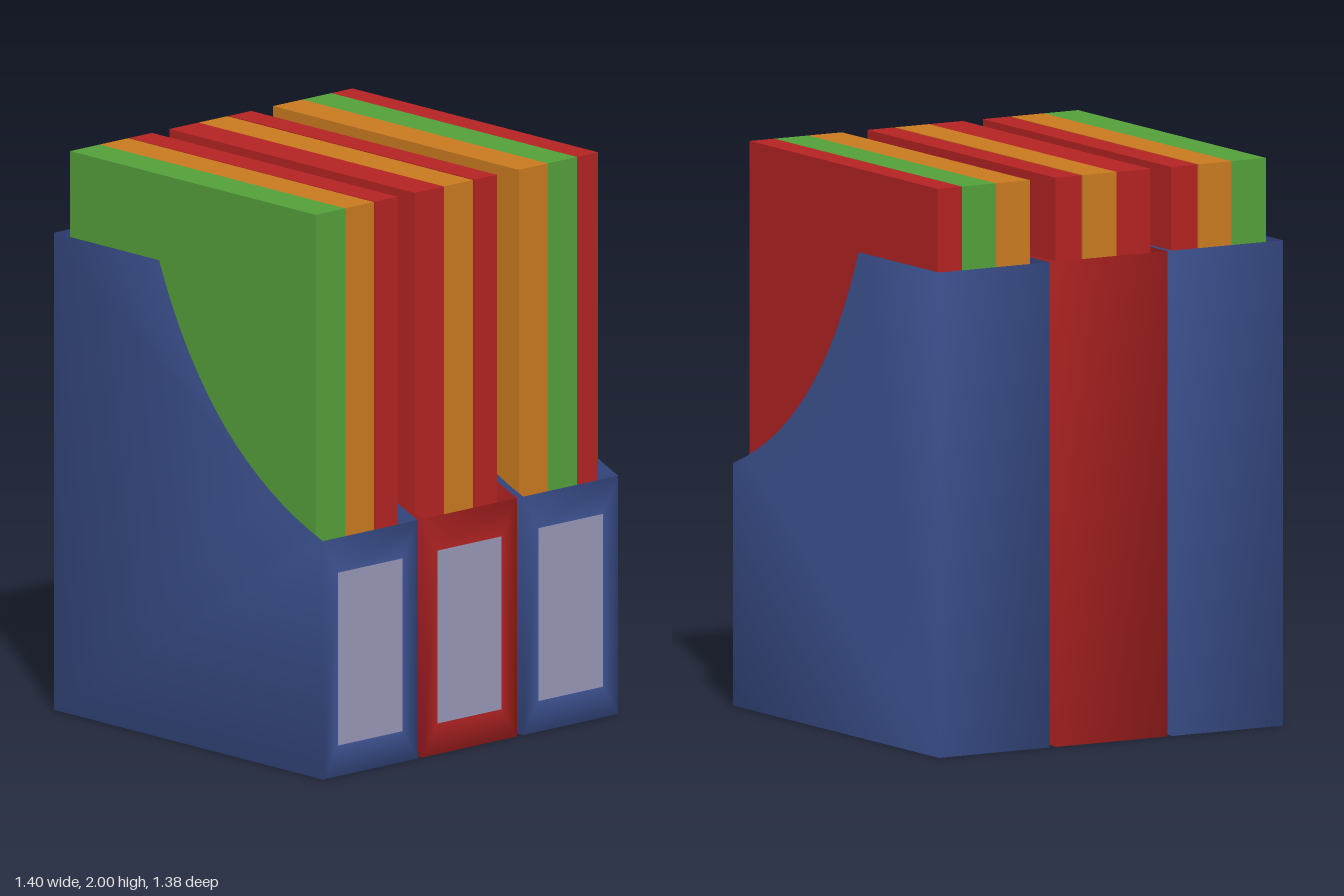
import * as THREE from 'three';
import { mergeGeometries, mergeVertices } from 'three/addons/utils/BufferGeometryUtils.js';

const W = 0.45, D = 1.38, FRONT_H = 0.855, BACK_H = 1.71;
const LABEL = { w: 0.305, y0: 0.11, y1: 0.73 };

const mat = (name, color, side = THREE.FrontSide) => {
  const m = new THREE.MeshStandardMaterial({ color, side });
  m.name = name;
  return m;
};

// Side outline with the swept cut-out; s = 1 or -1 picks the direction of depth
function sideShape(s) {
  const f = D / 2;
  const shape = new THREE.Shape();
  shape.moveTo(s * f, 0);
  shape.lineTo(s * f, FRONT_H);
  shape.quadraticCurveTo(s * 0.108, 1.064, s * -0.15, BACK_H);
  shape.lineTo(s * -f, BACK_H);
  shape.lineTo(s * -f, 0);
  shape.closePath();
  return new THREE.ShapeGeometry(shape, 16);
}

// Front panel with an opening for the label
function frontPanel() {
  const shape = new THREE.Shape([
    new THREE.Vector2(-W / 2, 0), new THREE.Vector2(W / 2, 0),
    new THREE.Vector2(W / 2, FRONT_H), new THREE.Vector2(-W / 2, FRONT_H),
  ]);
  const { w, y0, y1 } = LABEL;
  shape.holes.push(new THREE.Path([
    new THREE.Vector2(-w / 2, y0), new THREE.Vector2(-w / 2, y1),
    new THREE.Vector2(w / 2, y1), new THREE.Vector2(w / 2, y0),
  ]));
  return new THREE.ShapeGeometry(shape).translate(0, 0, D / 2);
}

// Open-topped shell, welded so the shading runs softly round the edges
function shellGeometry() {
  const parts = [
    frontPanel(),
    sideShape(-1).rotateY(Math.PI / 2).translate(W / 2, 0, 0),
    sideShape(1).rotateY(-Math.PI / 2).translate(-W / 2, 0, 0),
    new THREE.PlaneGeometry(W, BACK_H).rotateY(Math.PI).translate(0, BACK_H / 2, -D / 2),
    new THREE.PlaneGeometry(W, D).rotateX(Math.PI / 2),
  ];
  for (const g of parts) {
    g.deleteAttribute('uv');
    g.deleteAttribute('normal');
  }
  const shell = mergeVertices(mergeGeometries(parts), 1e-4);
  shell.computeVertexNormals();
  return shell;
}

export function createModel() {
  const model = new THREE.Group();
  model.name = 'magazineHolders';

  const blue = mat('holder blue', 0x3f5596, THREE.DoubleSide);
  const redShell = mat('holder red', 0xb32323, THREE.DoubleSide);
  const red = mat('binder red', 0xb32323);
  const green = mat('binder green', 0x549f3a);
  const orange = mat('binder orange', 0xc87a20);
  const grey = mat('label grey', 0x9797b6);

  const shell = shellGeometry();
  const labelGeo = new THREE.BoxGeometry(LABEL.w, LABEL.y1 - LABEL.y0, 0.005);

  // Each holder with its binders: [left edge, right edge, colour]
  const holders = [
    { name: 'rightHolder', x: -0.475, shellMat: blue,
      binders: [[-0.65, -0.51, green], [-0.51, -0.375, orange], [-0.37, -0.262, red]] },
    { name: 'middleHolder', x: -0.005, shellMat: redShell,
      binders: [[-0.18, -0.042, red], [-0.042, 0.095, orange], [0.102, 0.208, red]] },
    { name: 'leftHolder', x: 0.475, shellMat: blue,
      binders: [[0.312, 0.45, orange], [0.45, 0.588, green], [0.588, 0.688, red]] },
  ];

  for (const { name, x, shellMat, binders } of holders) {
    const group = new THREE.Group();
    group.name = name;

    const box = new THREE.Mesh(shell, shellMat);
    box.name = 'shell';
    box.position.x = x;

    const label = new THREE.Mesh(labelGeo, grey);
    label.name = 'label';
    label.position.set(x, (LABEL.y0 + LABEL.y1) / 2, D / 2 - 0.0025);
    group.add(box, label);

    // Binders stand inside on the floor
    binders.forEach(([x0, x1, material], i) => {
      const binder = new THREE.Mesh(new THREE.BoxGeometry(x1 - x0, 1.98, 1.26), material);
      binder.name = `binder${i + 1}`;
      binder.position.set((x0 + x1) / 2, 1.01, -0.03);
      group.add(binder);
    });
    model.add(group);
  }
  return model;
}
